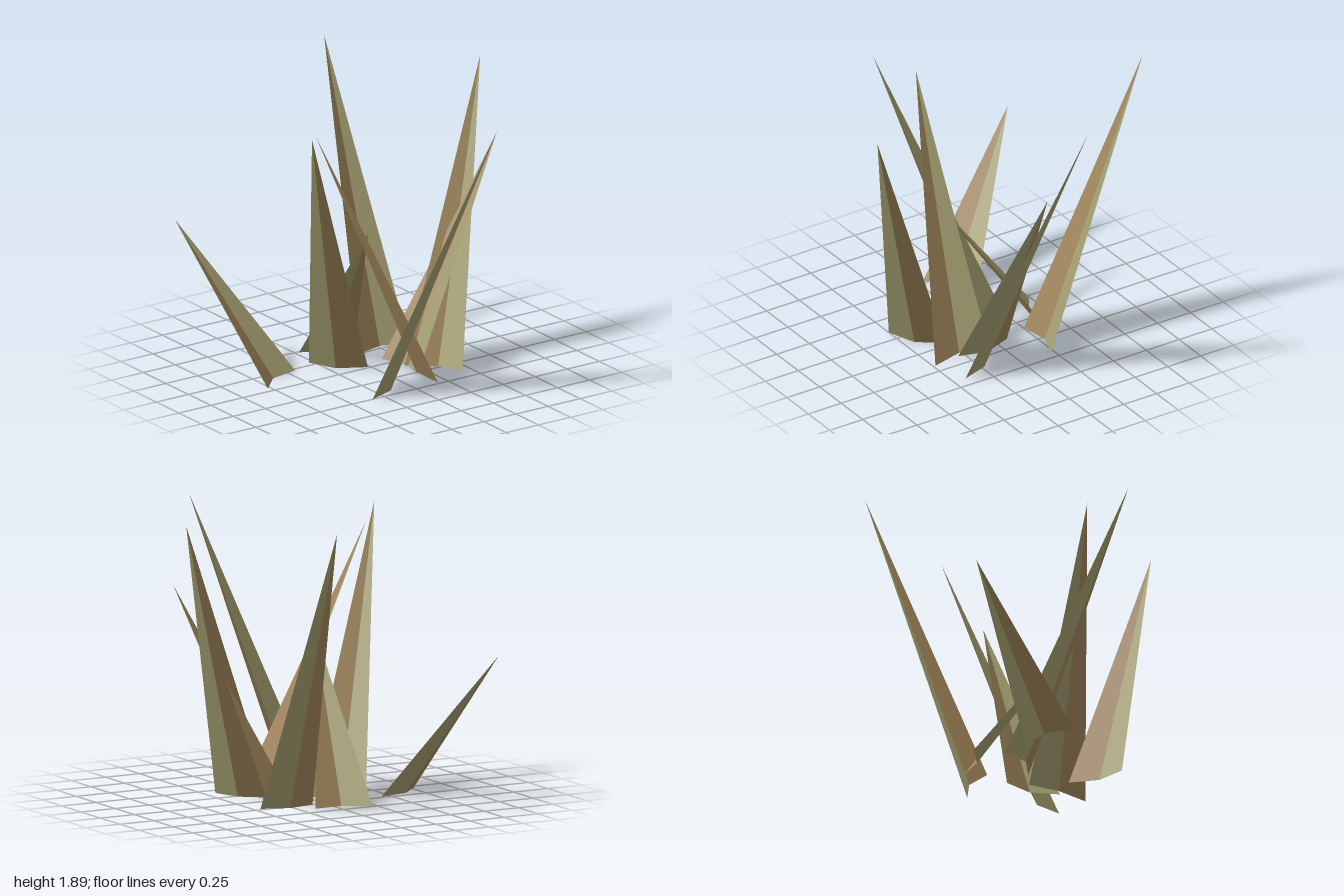
import * as THREE from 'three';

// Each blade is an open V-fold: two facets meeting along a spine from base to tip.
// Looking from base to tip, the left facet is brown and the right one olive.
// Columns: tip, left base corner, spine base, right base corner.
const blades = [
  [[-0.995, 1.89, -0.33], [-0.25, 0, -0.085], [-0.29, 0, -0.27], [-0.22, 0, -0.45]],
  [[-0.163, 1.87, -0.963], [0.1, 0, -0.19], [0.23, 0, -0.36], [0.414, 0, -0.42]],
  [[0.105, 1.44, -0.905], [-0.085, 0, -0.14], [0.107, 0, -0.21], [0.295, 0, -0.155]],
  [[0.995, 1.84, -0.283], [0.27, 0, 0.03], [0.43, 0, 0.15], [0.5, 0, 0.34]],
  [[0.16, 1.725, 0.545], [0.485, 0, -0.18], [0.285, 0.02, -0.15], [0.108, 0.06, -0.22]],
  [[0.367, 1.8, 0.72], [-0.01, 0, 0.02], [-0.11, 0, 0.2], [-0.295, 0, 0.28]],
  [[-0.815, 0.96, 0.96], [-0.045, 0, 0.775], [-0.185, 0, 0.635], [-0.225, 0, 0.435]],
  [[0.3, 1.04, 0.237], [-0.388, 0, -0.14], [-0.385, 0, 0.05], [-0.488, 0, 0.22]],
];

function facet(a, b, c, material, name) {
  const geometry = new THREE.BufferGeometry();
  geometry.setAttribute('position', new THREE.Float32BufferAttribute([...a, ...b, ...c], 3));
  geometry.computeVertexNormals();
  const mesh = new THREE.Mesh(geometry, material);
  mesh.name = name;
  return mesh;
}

export function createModel() {
  const brown = new THREE.MeshStandardMaterial({ color: 0xa0855a, side: THREE.DoubleSide, flatShading: true });
  brown.name = 'dry brown';
  const olive = new THREE.MeshStandardMaterial({ color: 0xa29d70, side: THREE.DoubleSide, flatShading: true });
  olive.name = 'olive';

  const grass = new THREE.Group();
  grass.name = 'grassTuft';
  blades.forEach(([tip, left, spine, right], i) => {
    const blade = new THREE.Group();
    blade.name = `blade${i + 1}`;
    blade.add(facet(left, spine, tip, brown, 'brownFacet'));
    blade.add(facet(spine, right, tip, olive, 'oliveFacet'));
    grass.add(blade);
  });
  return grass;
}
